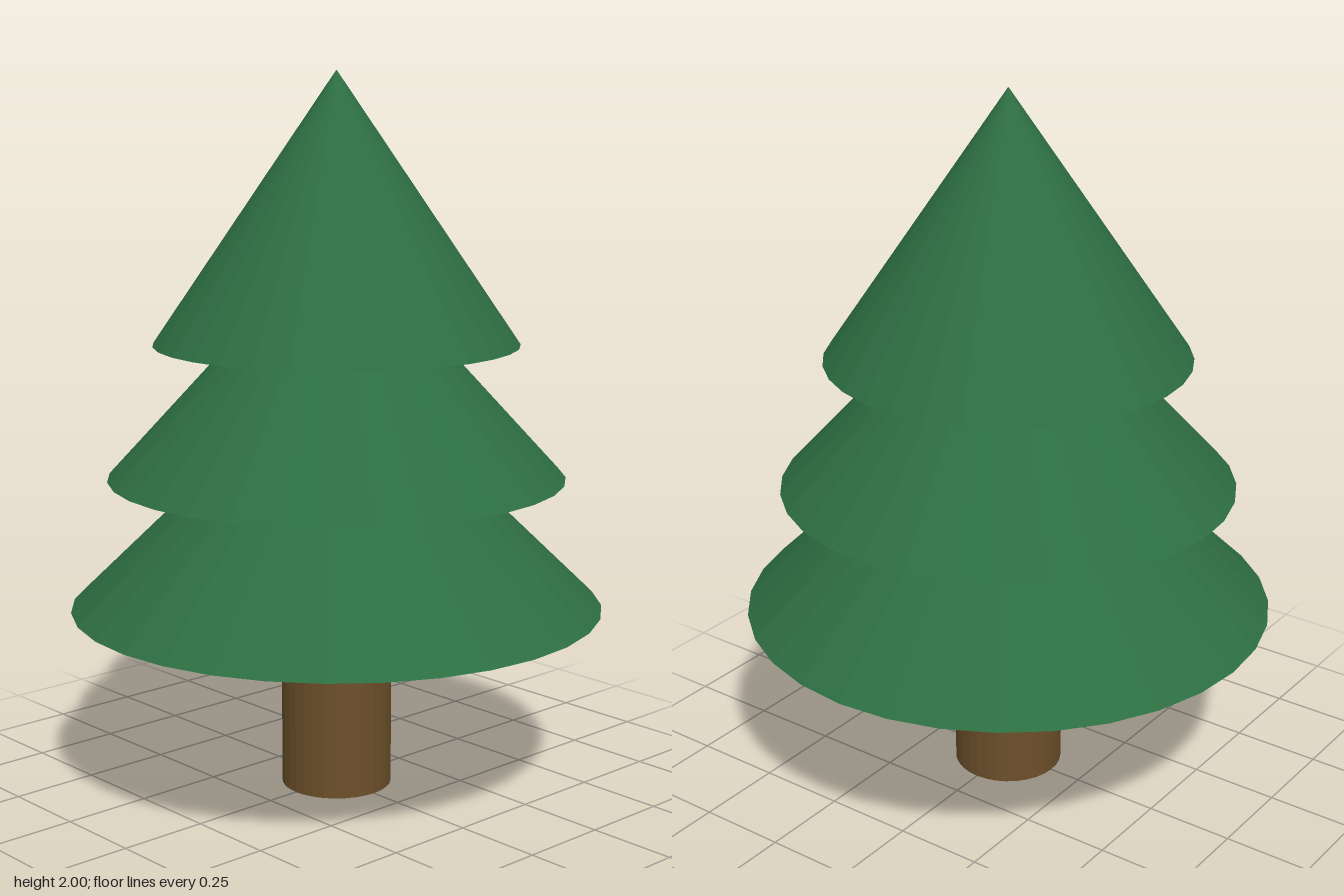
import * as THREE from 'three';

export function createModel() {
  const tree = new THREE.Group();
  tree.name = 'pineTree';
  const bark = new THREE.MeshStandardMaterial({ color: 0x6b4f2a, flatShading: true });
  const needles = new THREE.MeshStandardMaterial({ color: 0x2d6e42, flatShading: true });
  const sides = 32;

  // Places a geometry of the given height with its base at y
  function addPart(name, geometry, material, y, height) {
    const mesh = new THREE.Mesh(geometry, material);
    mesh.name = name;
    mesh.position.y = y + height / 2;
    tree.add(mesh);
  }

  // Trunk, running up to the lowest foliage
  const trunkHeight = 0.525;
  addPart('trunk', new THREE.CylinderGeometry(0.155, 0.155, trunkHeight, sides), bark, 0, trunkHeight);

  // Three overlapping foliage cones
  const tiers = [
    { name: 'lowerFoliage', radius: 0.742, base: 0.525, height: 0.72 },
    { name: 'middleFoliage', radius: 0.635, base: 0.89, height: 0.69 },
    { name: 'upperFoliage', radius: 0.505, base: 1.26, height: 0.74 },
  ];
  for (const { name, radius, base, height } of tiers) {
    addPart(name, new THREE.ConeGeometry(radius, height, sides), needles, base, height);
  }
  return tree;
}
